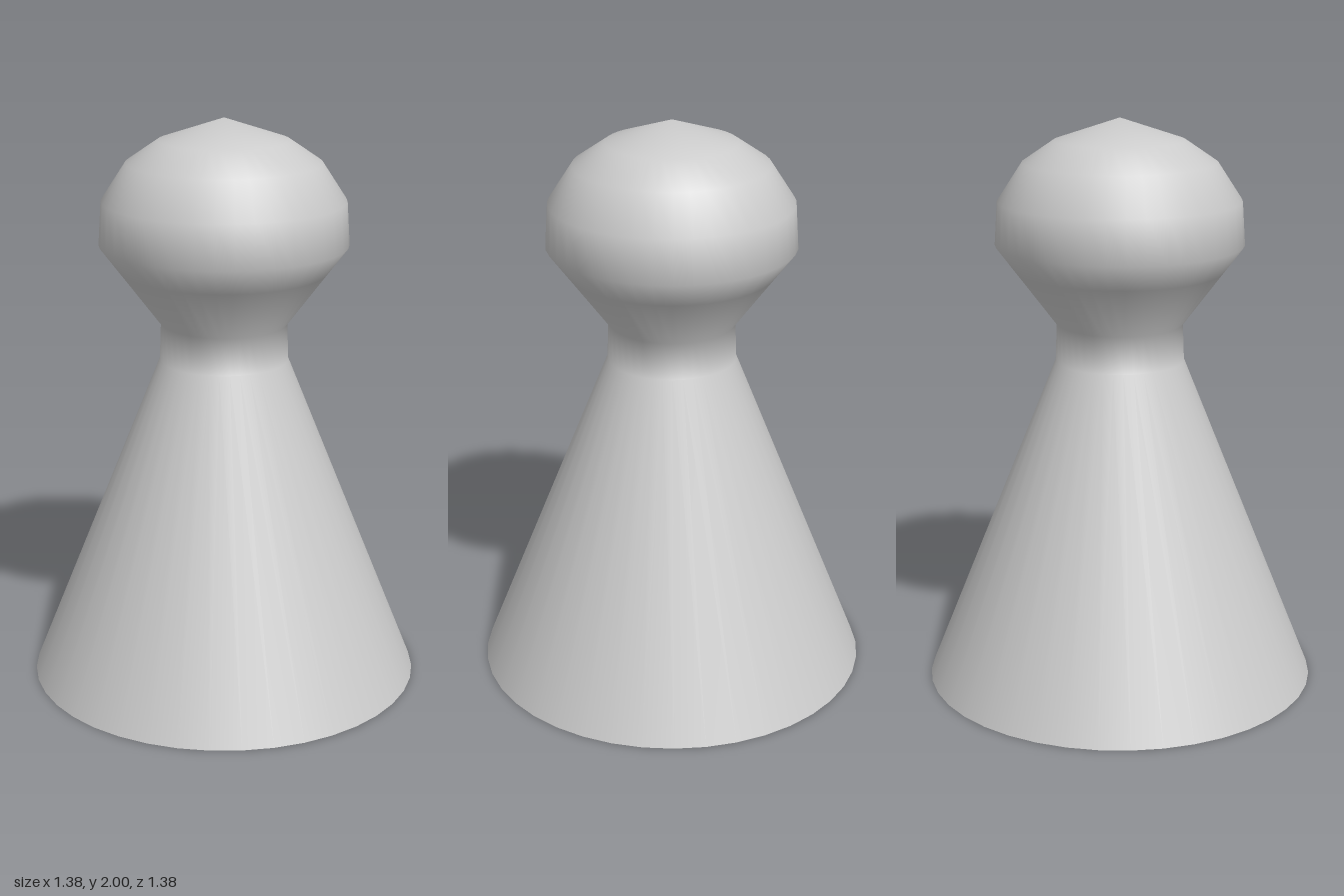
import * as THREE from 'three';
import { mergeVertices } from 'three/addons/utils/BufferGeometryUtils.js';

const SEGMENTS = 40;

export function createModel() {
  const group = new THREE.Group();
  const material = new THREE.MeshStandardMaterial({ color: 0xcccccc, side: THREE.DoubleSide });

  // Revolve a profile of [radius, height] pairs, lifting every second spoke by wave,
  // and weld it so the shading stays smooth over the seam and tip
  const turned = (name, profile, wave = 0) => {
    const points = profile.map(([r, y]) => new THREE.Vector2(r, y));
    const lathe = new THREE.LatheGeometry(points, SEGMENTS);
    lathe.deleteAttribute('normal');
    lathe.deleteAttribute('uv');

    const position = lathe.attributes.position;
    for (let i = 0; i < position.count; i++) {
      const spoke = Math.floor(i / points.length);
      position.setY(i, position.getY(i) + (spoke % 2) * wave);
    }

    const geometry = mergeVertices(lathe, 1e-4);
    geometry.computeVertexNormals();
    const mesh = new THREE.Mesh(geometry, material);
    mesh.name = name;
    group.add(mesh);
  };

  // Hollow skin: flared skirt, narrow neck and rounded head with a shallow point
  turned('pawnBody', [
    [0.69, 0], [0.225, 1.16], [0.22, 1.29], [0.36, 1.477], [0.43, 1.57],
    [0.42, 1.72], [0.335, 1.85], [0.225, 1.925], [0, 2],
  ]);

  // Narrow wavy ledge just inside the open base
  turned('baseLedge', [[0.64, 0.025], [0.67, 0.025]], 0.015);

  return group;
}
